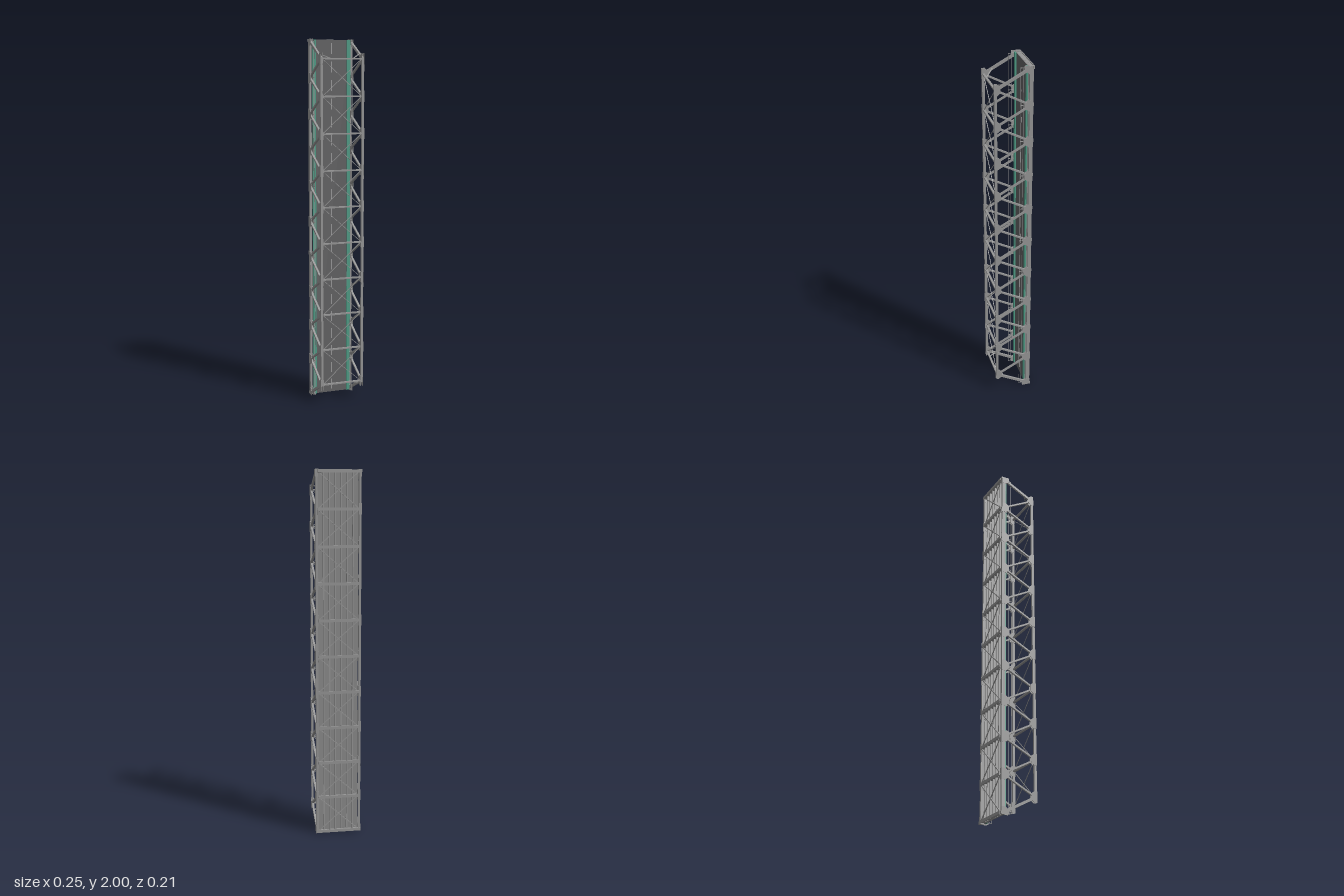
import * as THREE from 'three';

const mat = (name, color) => {
  const m = new THREE.MeshStandardMaterial({ color });
  m.name = name;
  return m;
};

export function createModel() {
  const steel = mat('steel grey', 0x969696);
  const concrete = mat('slab grey', 0x8a8a8a);
  const asphalt = mat('asphalt', 0x626264);
  const green = mat('walkway green', 0x4f9c86);
  const paint = mat('lane paint', 0xd0d0d0);

  const model = new THREE.Group();
  model.name = 'trussBridge';
  const V = (x, y, z) => new THREE.Vector3(x, y, z);
  const X_AXIS = V(1, 0, 0), Z_AXIS = V(0, 0, 1);

  const group = (name) => {
    const g = new THREE.Group();
    g.name = name;
    model.add(g);
    return g;
  };
  // Box given by its limits on each axis
  const box = (parent, name, m, x0, x1, y0, y1, z0, z1) => {
    const mesh = new THREE.Mesh(new THREE.BoxGeometry(x1 - x0, y1 - y0, z1 - z0), m);
    mesh.position.set((x0 + x1) / 2, (y0 + y1) / 2, (z0 + z1) / 2);
    mesh.name = name;
    parent.add(mesh);
  };
  // Straight bar from a to b; 'thick' is measured along the up axis
  const bar = (parent, name, a, b, wide, thick, up) => {
    const mesh = new THREE.Mesh(new THREE.BoxGeometry(wide, thick, a.distanceTo(b)), steel);
    mesh.up.copy(up);
    mesh.position.copy(a).lerp(b, 0.5);
    mesh.lookAt(b);
    mesh.name = name;
    parent.add(mesh);
  };
  // Hexagonal gusset plate in the truss plane, tapering from the chord inward
  const gusset = (parent, x, y, zChord, zInner) => {
    const zMid = zChord + (zInner - zChord) * 0.5;
    const points = [[zChord, -0.03], [zMid, -0.03], [zInner, -0.014], [zInner, 0.014], [zMid, 0.03], [zChord, 0.03]]
      .map(([z, dy]) => new THREE.Vector2(z, THREE.MathUtils.clamp(y + dy, 0, 2)));
    const geo = new THREE.ExtrudeGeometry(new THREE.Shape(points), { depth: 0.002, bevelEnabled: false });
    geo.rotateY(-Math.PI / 2);
    const mesh = new THREE.Mesh(geo, steel);
    mesh.position.x = x + 0.001;
    mesh.name = 'gussetPlate';
    parent.add(mesh);
  };

  const PANEL = 0.198, X = 0.1175, Z_TOP = 0.096, Z_LOW = -0.09;
  const low = Array.from({ length: 11 }, (_, i) => 0.01 + i * PANEL);
  const top = Array.from({ length: 10 }, (_, i) => 0.109 + i * PANEL);

  // Side trusses
  for (const s of [1, -1]) {
    const truss = group(s > 0 ? 'leftTruss' : 'rightTruss');
    const x = s * X;
    box(truss, 'lowerChord', steel, x - 0.006, x + 0.006, 0, 2, -0.1, -0.08);
    box(truss, 'upperChord', steel, x - 0.006, x + 0.006, 0.102, 1.898, 0.089, 0.103);
    top.forEach((y, i) => {
      const rising = i === 0 ? 0.014 : 0.009, falling = i === 9 ? 0.014 : 0.009;
      bar(truss, 'diagonal', V(x, low[i], Z_LOW), V(x, y, Z_TOP), rising, 0.011, X_AXIS);
      bar(truss, 'diagonal', V(x, y, Z_TOP), V(x, low[i + 1], Z_LOW), falling, 0.011, X_AXIS);
    });
    for (const side of [-0.0065, 0.0065]) {
      top.forEach((y) => gusset(truss, x + side, y, 0.104, 0.07));
      low.forEach((y) => gusset(truss, x + side, y, -0.101, -0.056));
    }
    // End bearings
    for (const y of [0, 1.985]) box(truss, 'bearing', steel, x - 0.009, x + 0.009, y, y + 0.015, -0.104, -0.098);
  }

  // Overhead struts and lateral bracing between the upper chords
  const overhead = group('overheadBracing');
  for (const y of top) box(overhead, 'topStrut', steel, -0.112, 0.112, y - 0.004, y + 0.004, 0.089, 0.101);
  for (let i = 0; i < 9; i++) for (const s of [1, -1])
    bar(overhead, 'topLateral', V(s * 0.112, top[i], 0.095), V(-s * 0.112, top[i + 1], 0.095), 0.003, 0.003, Z_AXIS);

  // Knee braces at both portals
  for (const s of [1, -1]) {
    bar(overhead, 'kneeBrace', V(s * 0.113, 1.917, 0.049), V(s * 0.065, 1.893, 0.09), 0.005, 0.005, Z_AXIS);
    bar(overhead, 'kneeBrace', V(s * 0.113, 0.083, 0.049), V(s * 0.065, 0.107, 0.09), 0.005, 0.005, Z_AXIS);
  }

  // Floor beams, stringers and lower bracing
  const floor = group('floorFrame');
  for (const y of low) {
    box(floor, 'floorBeamWeb', steel, -0.112, 0.112, y - 0.003, y + 0.003, -0.104, -0.081);
    box(floor, 'floorBeamFlange', steel, -0.112, 0.112, y - 0.008, y + 0.008, -0.107, -0.103);
  }
  for (let i = 0; i < 6; i++) {
    const x = -0.08 + i * 0.032;
    box(floor, 'stringer', steel, x - 0.003, x + 0.003, 0.006, 1.994, -0.096, -0.081);
  }
  for (let i = 0; i < 10; i++) for (const s of [1, -1])
    bar(floor, 'lowerLateral', V(s * 0.113, low[i], -0.099), V(-s * 0.113, low[i + 1], -0.099), 0.005, 0.004, Z_AXIS);

  // Deck, road surface and centre line
  const deck = group('deck');
  box(deck, 'slab', concrete, -0.11, 0.11, 0.004, 1.996, -0.081, -0.076);
  box(deck, 'roadSurface', asphalt, -0.11, 0.11, 0.004, 1.996, -0.076, -0.0745);
  for (let i = 0; i < 20; i++) {
    const y = 0.05 + i * 0.1;
    box(deck, 'laneDash', paint, -0.0015, 0.0015, y - 0.03, y + 0.03, -0.0745, -0.074);
  }

  // Walkways and railings
  for (const s of [1, -1]) {
    const side = group(s > 0 ? 'leftWalkway' : 'rightWalkway');
    const a = s * 0.1005, r = s * 0.109;
    box(side, 'walkway', green, a - 0.0095, a + 0.0095, 0.004, 1.996, -0.0745, -0.067);
    for (const z of [-0.037, -0.052]) box(side, 'rail', steel, r - 0.001, r + 0.001, 0.01, 1.99, z - 0.001, z + 0.001);
    for (const y of low) box(side, 'railPost', steel, r - 0.0015, r + 0.0015, y - 0.0015, y + 0.0015, -0.068, -0.036);
  }
  return model;
}
